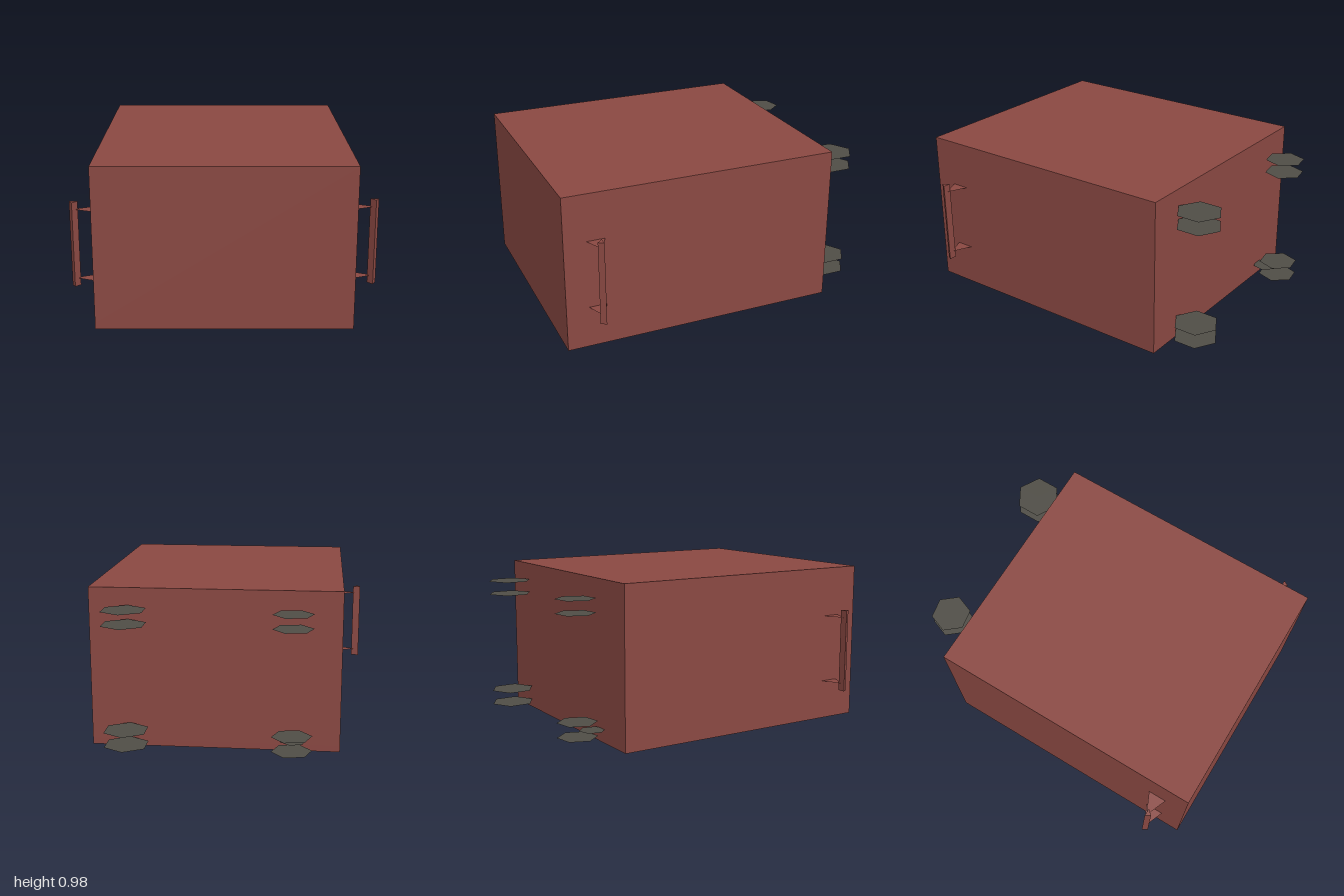
import * as THREE from 'three';

export function createModel() {
  const model = new THREE.Group();
  model.name = 'drawer';
  const red = new THREE.MeshStandardMaterial({ color: 0x8a4842, side: THREE.DoubleSide, flatShading: true });
  red.name = 'red brown';
  const grey = new THREE.MeshStandardMaterial({ color: 0x4f4d46, side: THREE.DoubleSide, flatShading: true });
  grey.name = 'dark grey';

  const add = (name, geometry, material, x = 0, y = 0, z = 0, parent = model) => {
    const mesh = new THREE.Mesh(geometry, material);
    mesh.name = name;
    mesh.position.set(x, y, z);
    parent.add(mesh);
    return mesh;
  };
  // Flat outline in x and z, facing up
  const outline = (Type, points) =>
    new Type(points.map(([x, z]) => new THREE.Vector2(x, -z)));

  // Main body, raised on a shallow rim that leaves a recess underneath
  const left = 0.755, right = -0.75, back = -0.72, front = 1, rimHeight = 0.04, top = 0.98;
  add('body', new THREE.BoxGeometry(left - right, top - rimHeight, front - back), red,
    (left + right) / 2, (top + rimHeight) / 2, (front + back) / 2);

  const rimShape = outline(THREE.Shape, [[right, front], [left, front], [left, back], [right, back]]);
  rimShape.holes.push(outline(THREE.Path,
    [[right + 0.085, front - 0.15], [right + 0.085, back + 0.09], [left - 0.085, back + 0.09], [left - 0.085, front - 0.15]]));
  const rim = new THREE.ExtrudeGeometry(rimShape, { depth: rimHeight, bevelEnabled: false });
  rim.rotateX(-Math.PI / 2);
  add('bottomRim', rim, red);

  // Broken seams across the underside
  const dashes = [[-0.6, 0.45], [-0.08, 0.05], [0.02, 0.3], [0.4, 0.2]];
  for (let row = 0; row < 6; row++) {
    dashes.forEach(([start, length], i) => {
      const shift = ((row * 3 + i) % 4) * 0.02;
      add('undersideSeam', new THREE.BoxGeometry(length, 0.004, 0.014), grey,
        start + length / 2 + shift, rimHeight - 0.002, -0.5 + row * 0.24);
    });
  }

  // Side handles: an open three-sided bar held by two flat triangular brackets
  for (const side of [1, -1]) {
    const handle = new THREE.Group();
    handle.name = side > 0 ? 'leftHandle' : 'rightHandle';
    model.add(handle);
    const middle = side > 0 ? 0.475 : 0.46;
    const section = [[0.85, 0.805], [0.90, 0.805], [0.88, 0.838]];
    const barShape = outline(THREE.Shape, section.map(([x, z]) => [side * x, z]));
    const bar = new THREE.ExtrudeGeometry(barShape, { depth: 0.52, bevelEnabled: false });
    bar.rotateX(-Math.PI / 2);
    add('handleBar', bar, red, 0, middle - 0.26, 0, handle);
    for (const offset of [-0.213, 0.213]) {
      const bracket = new THREE.ShapeGeometry(outline(THREE.Shape,
        [[side * 0.75, 0.75], [side * 0.75, 0.865], [side * 0.885, 0.81]]));
      bracket.rotateX(-Math.PI / 2);
      add('handleBracket', bracket, red, 0, middle + offset, 0, handle);
    }
  }

  // Hexagonal plates, in pairs behind the back
  const plate = (name, x, y, z, radius, turn) => {
    const geometry = new THREE.CircleGeometry(radius, 6);
    geometry.rotateZ(turn);
    geometry.rotateX(-Math.PI / 2);
    add(name, geometry, grey, x, y, z);
  };
  for (const y of [0.055, 0.145, 0.79, 0.875]) {
    plate('leftHexPlate', 0.52, y, -0.86, 0.14, Math.PI / 6);
    plate('rightHexPlate', -0.465, y, -0.88, 0.122, 0.17);
  }
  plate('smallHexPlate', -0.47, 0.083, -0.785, 0.08, 0.3);

  return model;
}
